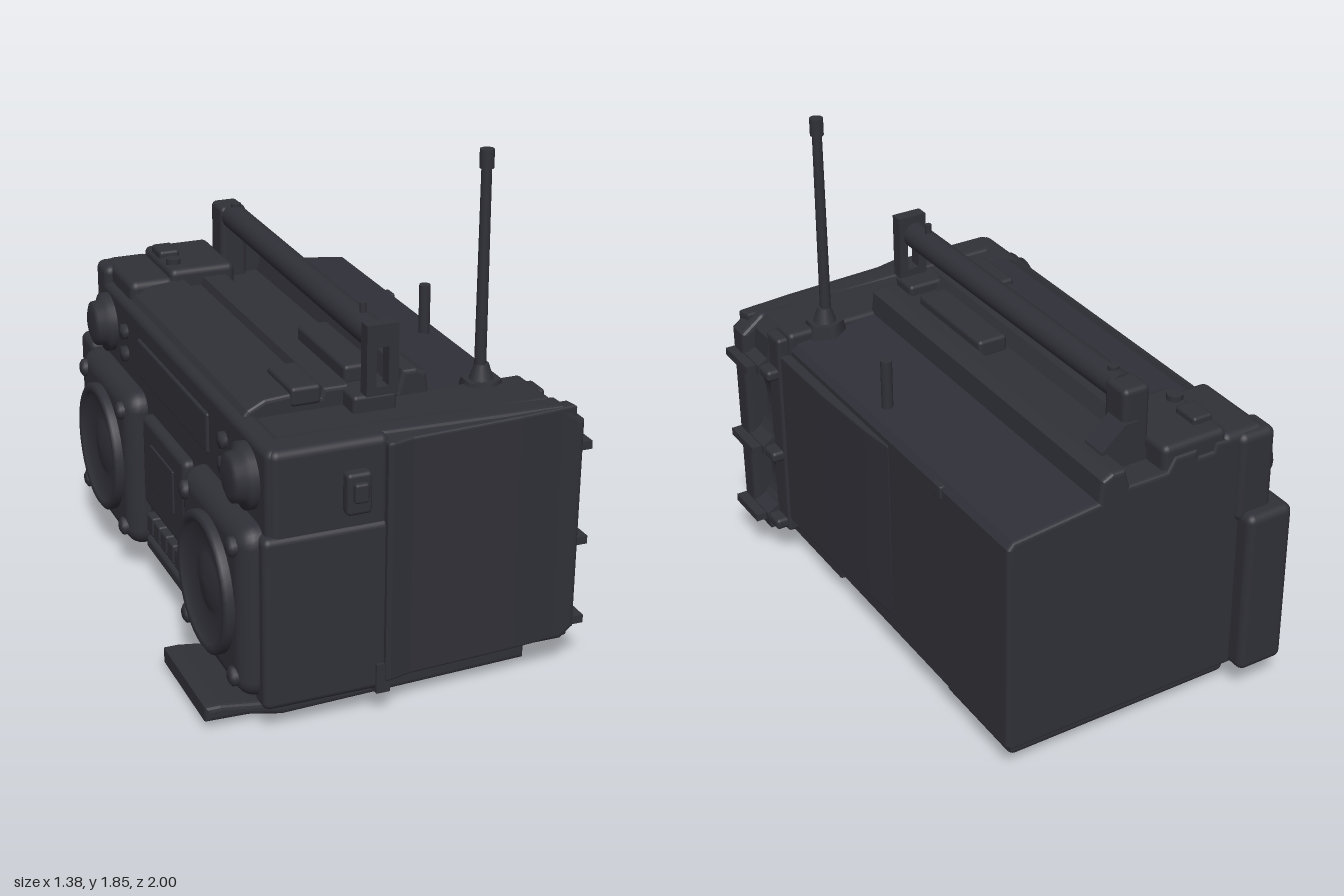
import * as THREE from 'three';
import { RoundedBoxGeometry } from 'three/addons/geometries/RoundedBoxGeometry.js';

export function createModel() {
  const model = new THREE.Group();
  model.name = 'portableRadio';
  const charcoal = new THREE.MeshStandardMaterial({ color: 0x303038 });
  charcoal.name = 'charcoal plastic';

  const add = (name, geometry, x = 0, y = 0, z = 0) => {
    const mesh = new THREE.Mesh(geometry, charcoal);
    mesh.name = name;
    mesh.position.set(x, y, z);
    model.add(mesh);
    return mesh;
  };
  // box given by its limits, with an optional edge radius
  const box = (name, x0, x1, y0, y1, z0, z1, r = 0) => {
    const s = [x1 - x0, y1 - y0, z1 - z0];
    const g = r ? new RoundedBoxGeometry(...s, 3, r) : new THREE.BoxGeometry(...s);
    return add(name, g, (x0 + x1) / 2, (y0 + y1) / 2, (z0 + z1) / 2);
  };
  // outline extruded to a given depth
  const extrude = (points, depth, bevel) => new THREE.ExtrudeGeometry(
    new THREE.Shape(points.map(p => new THREE.Vector2(...p))), {
      depth: depth - 2 * bevel, bevelEnabled: bevel > 0, bevelSize: bevel,
      bevelThickness: bevel, bevelOffset: -bevel, bevelSegments: 3
    }).translate(0, 0, bevel);
  // x-y outline swept along z
  const sweep = (name, points, z0, z1, bevel = 0) =>
    add(name, extrude(points, z1 - z0, bevel), 0, 0, z0);
  // x-z outline raised along y
  const raise = (name, points, y0, y1, bevel = 0) =>
    add(name, extrude(points, y1 - y0, bevel).rotateX(Math.PI / 2), 0, y1, 0);
  // turned part whose axis points out of the speaker side (-x)
  const turned = (name, profile, x, y, z, sides = 40) => {
    const g = new THREE.LatheGeometry(profile.map(p => new THREE.Vector2(...p)), sides);
    const m = add(name, g, x, y, z);
    m.rotation.z = Math.PI / 2;
    return m;
  };
  const post = (name, r0, r1, x, y0, y1, z, sides = 16) =>
    add(name, new THREE.CylinderGeometry(r1, r0, y1 - y0, sides), x, (y0 + y1) / 2, z);

  // Main case with rails and a trough along the top
  sweep('case', [[-0.47, 0.12], [0.54, 0.12], [0.555, 0.14], [0.552, 0.95], [0.53, 0.975],
    [0.2, 1.01], [0.19, 1.09], [0.15, 1.11], [0.1, 1.11], [0.08, 1.04], [-0.07, 1.04],
    [-0.1, 1.09], [-0.19, 1.09], [-0.2, 1.06], [-0.26, 1.06], [-0.27, 1.09], [-0.4, 1.08],
    [-0.46, 1.05], [-0.5, 1.0]], -0.93, 0.63, 0.015);
  box('caseBottom', -0.4, 0.48, 0.07, 0.14, -0.84, 0.8, 0.015);
  // rear cover grows slightly thicker towards the end cap
  raise('batteryCover', [[0.52, -0.14], [0.556, -0.14], [0.572, 0.0], [0.588, 0.3],
    [0.59, 0.64], [0.52, 0.64]], 0.2, 0.93, 0.008);

  // Tall end cap; its outer face tapers towards the rear
  sweep('endCap', [[-0.5, 0.13], [0.6, 0.12], [0.65, 0.16], [0.655, 0.95], [0.57, 1.015],
    [-0.08, 1.03], [-0.46, 1.03], [-0.5, 0.98]], 0.81, 0.91, 0.02);
  raise('endTaper', [[-0.1, 0.85], [0.61, 0.85], [0.62, 0.905], [0.4, 0.925],
    [0.0, 0.945], [-0.08, 0.965], [-0.1, 0.965]], 0.13, 1.01, 0.01);
  box('endCapCore', -0.49, 0.56, 0.13, 1.02, 0.6, 0.84, 0.02);

  // Scalloped rear corner: hollows between ledges
  const scallop = [[0.5, 0.13], [0.64, 0.13], [0.65, 0.19]];
  for (const [y0, y1] of [[0.2, 0.47], [0.51, 0.83]])
    for (let i = 0; i <= 10; i++) {
      const t = i / 10;
      scallop.push([0.65 - 0.08 * Math.sqrt(Math.sin(Math.PI * t) + 1e-9), y0 + (y1 - y0) * t]);
    }
  scallop.push([0.65, 0.87], [0.61, 0.89], [0.6, 0.97], [0.56, 1.01], [0.5, 1.01]);
  sweep('rearScallops', scallop, 0.7, 0.85);
  box('rearScallopEdge', 0.5, 0.6, 0.14, 1.0, 0.62, 0.72, 0.015);
  for (const y of [0.18, 0.49, 0.85]) {
    box('rearLedge', 0.5, 0.645, y - 0.025, y + 0.02, 0.63, 0.83, 0.015);
    box('rearStud', 0.63, 0.69, y - 0.015, y + 0.015, 0.72, 0.9);
  }

  box('endLowerPanel', -0.53, -0.08, 0.1, 0.73, 0.85, 0.95, 0.025);
  box('endUpperPanel', -0.5, -0.08, 0.7, 1.03, 0.85, 0.94, 0.03);
  box('endSeam', -0.13, -0.08, 0.09, 0.2, 0.88, 0.96);
  box('endLatch', -0.25, -0.16, 0.78, 0.93, 0.93, 0.98, 0.015);
  box('endLatchButton', -0.23, -0.18, 0.83, 0.9, 0.96, 1.0, 0.01);

  // Speaker-side panel and the wider far corner
  box('facePanel', -0.51, -0.42, 0.14, 1.03, -0.92, 0.93, 0.03);
  box('farCorner', -0.57, -0.38, 0.12, 0.78, -1.0, -0.85, 0.03);
  box('farUpperCorner', -0.51, -0.36, 0.74, 1.09, -0.95, -0.82, 0.03);

  // Two speakers, each a pod, a rim, a cone and screws, with a knob above
  for (const z of [-0.62, 0.6]) {
    const sign = Math.sign(z);
    box('speakerPod', -0.595, -0.45, 0.12, 0.75, z - 0.31, z + 0.31, 0.07);
    turned('speakerRim', [[0.25, 0], [0.25, 0.03], [0.235, 0.04], [0.215, 0.035], [0.205, 0.015],
      [0.12, 0.004], [0.1, 0.01], [0.06, 0.02], [0, 0.025]], -0.59, 0.435, z);
    for (const a of [-1, 1]) for (const b of [-1, 1])
      turned('speakerScrew', [[0.035, 0], [0.035, 0.03], [0.02, 0.04], [0, 0.04]],
        -0.575, 0.435 + a * 0.24, z + b * 0.235, 12);
    turned('knob', [[0.115, 0], [0.115, 0.03], [0.09, 0.04], [0.085, 0.07], [0.06, 0.08],
      [0, 0.08]], -0.505, 0.885, z + sign * 0.16, 24);
    for (const y of [0.83, 0.92])
      turned('smallButton', [[0.03, 0], [0.03, 0.025], [0, 0.03]], -0.505, y, z - sign * 0.06, 12);
  }

  // Cassette door, keys and tuning window between the speakers
  box('cassetteDoor', -0.55, -0.49, 0.34, 0.7, -0.27, 0.21, 0.025);
  box('cassetteWindow', -0.556, -0.54, 0.45, 0.62, -0.16, 0.1, 0.005);
  for (let i = 0; i < 6; i++)
    box('key', -0.545, -0.49, 0.22, 0.3, -0.26 + i * 0.08, -0.19 + i * 0.08, 0.01);
  box('lowerLip', -0.54, -0.48, 0.14, 0.19, -0.29, 0.27, 0.015);
  box('tuningWindow', -0.52, -0.49, 0.8, 0.95, -0.4, 0.38, 0.01);

  // Feet; one has a tongue that curls out past the speakers
  box('footFar', -0.42, 0.5, 0.025, 0.14, -0.86, -0.42, 0.025);
  sweep('footNear', [[-0.695, 0.03], [-0.54, 0.025], [-0.42, 0.0], [0.5, 0.025], [0.5, 0.14],
    [-0.46, 0.14], [-0.5, 0.065], [-0.64, 0.085], [-0.695, 0.085]], 0.37, 0.83, 0.018);

  // Carrying handle
  const bar = add('handleBar', new THREE.CylinderGeometry(0.05, 0.05, 1.38, 20), -0.02, 1.272, -0.03);
  bar.rotation.x = Math.PI / 2 + 0.012;
  box('handleUpright', -0.075, 0.03, 1.0, 1.32, -0.81, -0.69, 0.02);
  post('handlePin', 0.02, 0.02, -0.02, 1.28, 1.34, -0.67, 12);
  post('handlePin', 0.012, 0.012, -0.02, 1.29, 1.35, 0.56, 12);
  sweep('handleBracket', [[-0.08, 1.0], [0.15, 1.0], [0.12, 1.12], [0.03, 1.2], [-0.02, 1.2]], -0.82, -0.72);
  const plate = new THREE.Shape();
  plate.moveTo(-0.08, 1.08).lineTo(0.035, 1.08).lineTo(0.035, 1.33).lineTo(-0.08, 1.33);
  const slot = new THREE.Path();
  slot.moveTo(-0.045, 1.11).lineTo(-0.045, 1.25).lineTo(0.0, 1.25).lineTo(0.0, 1.11);
  plate.holes.push(slot);
  add('handleEndPlate', new THREE.ExtrudeGeometry(plate, { depth: 0.05, bevelEnabled: false }), 0, 0, 0.685);

  // Blocks and buttons on the top
  box('topFarBlock', -0.32, -0.06, 1.0, 1.13, -0.92, -0.58, 0.025);
  box('topFarEdge', -0.48, -0.3, 1.0, 1.1, -0.93, -0.58, 0.03);
  box('topSwitch', -0.31, -0.23, 1.1, 1.155, -0.85, -0.74, 0.012);
  post('topButton', 0.03, 0.03, -0.28, 1.1, 1.15, -0.67, 8);
  box('topNearBlock', -0.31, -0.2, 1.04, 1.11, 0.41, 0.64, 0.015);
  box('topNearBracket', -0.12, 0.04, 1.0, 1.08, 0.6, 0.72, 0.015);
  box('troughClip', -0.06, 0.06, 1.03, 1.1, 0.06, 0.5, 0.015);
  box('rearButton', 0.5, 0.56, 0.91, 0.965, -0.51, -0.45, 0.008);

  // Antenna and short post
  post('antennaBase', 0.085, 0.07, 0.4, 0.97, 1.035, 0.62, 6);
  post('antennaCollar', 0.045, 0.025, 0.4, 1.03, 1.09, 0.62);
  post('antennaRod', 0.021, 0.018, 0.395, 1.05, 1.79, 0.62);
  post('antennaTip', 0.025, 0.025, 0.395, 1.785, 1.85, 0.62);
  post('shortPost', 0.021, 0.021, 0.465, 0.96, 1.17, 0.02);

  return model;
}
